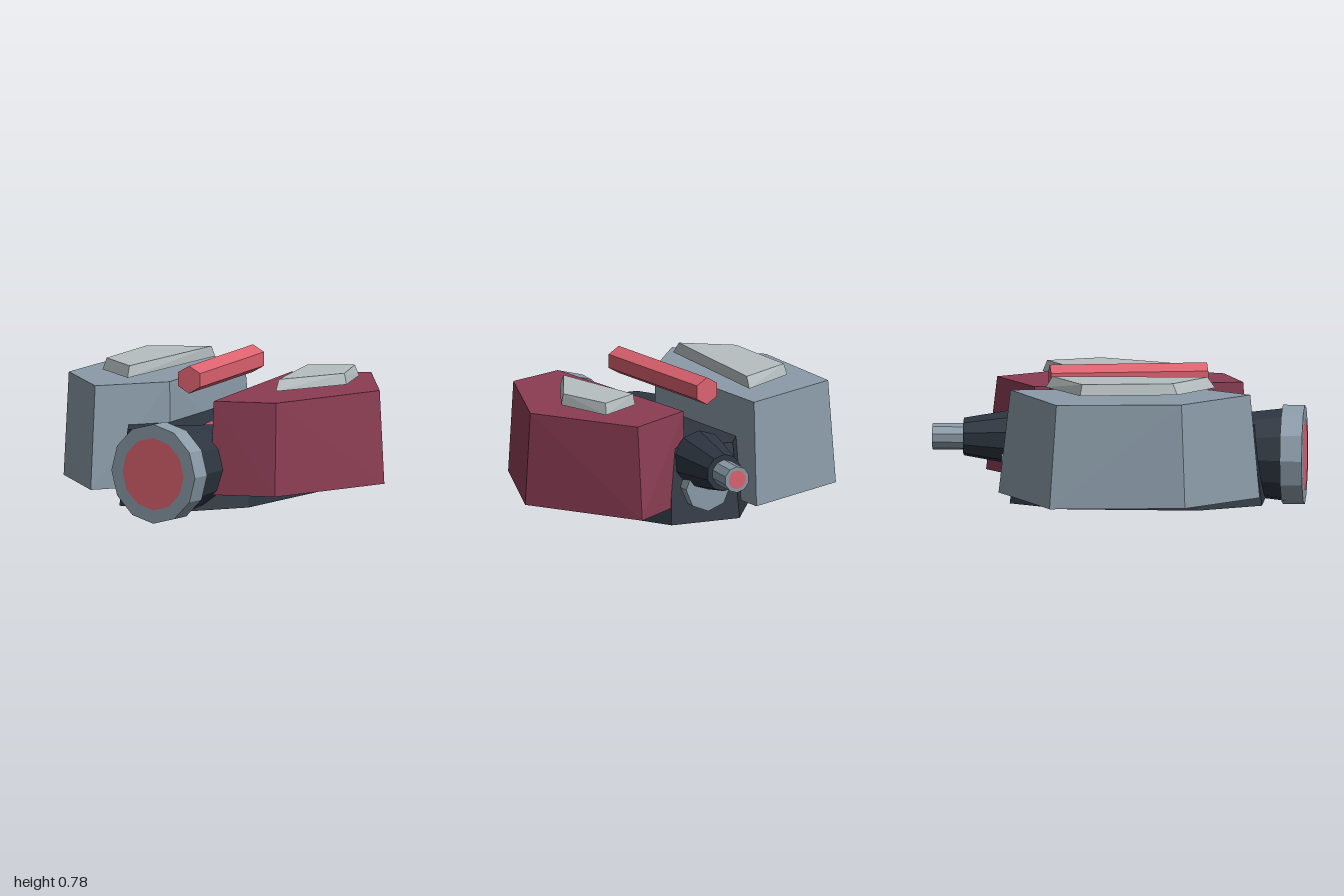
import * as THREE from 'three';
import { ConvexGeometry } from 'three/addons/geometries/ConvexGeometry.js';

const mat = (color) => new THREE.MeshStandardMaterial({ color, flatShading: true });
const steel = mat(0x8a9ba8), maroon = mat(0x8b3d53), red = mat(0xdc626e);
const dark = mat(0x2d3641), pale = mat(0xb6bec0);

export function createModel() {
  const model = new THREE.Group();

  function add(name, geometry, material) {
    const mesh = new THREE.Mesh(geometry, material);
    mesh.name = name;
    model.add(mesh);
    return mesh;
  }

  // Tapered block between two [x, z] outlines
  function block(name, material, y0, base, y1, top) {
    const points = [
      ...base.map(([x, z]) => new THREE.Vector3(x, y0, z)),
      ...top.map(([x, z]) => new THREE.Vector3(x, y1, z)),
    ];
    return add(name, new ConvexGeometry(points), material);
  }

  // Faceted barrel along z, from z0 (radius r0) to z1 (radius r1)
  function barrel(name, material, x, y, z0, r0, z1, r1, sides) {
    const g = new THREE.CylinderGeometry(r1, r0, z1 - z0, sides).rotateX(Math.PI / 2);
    add(name, g, material).position.set(x, y, (z0 + z1) / 2);
  }

  // Flat coloured face on the end of a barrel; dir is +1 (front) or -1 (back)
  function lens(name, x, y, z, r, sides, dir) {
    const g = new THREE.CircleGeometry(r, sides, Math.PI / 2);
    if (dir < 0) g.rotateY(Math.PI);
    add(name, g, red).position.set(x, y, z + dir * 0.002);
  }

  // Hexagonal rod between two points
  function rod(name, a, b, r) {
    const from = new THREE.Vector3(...a), to = new THREE.Vector3(...b);
    const g = new THREE.CylinderGeometry(r, r, from.distanceTo(to), 6).rotateX(Math.PI / 2);
    const mesh = add(name, g, red);
    mesh.position.copy(from).lerp(to, 0.5);
    mesh.lookAt(to);
  }

  // Central eight-sided body, slightly narrower at the top
  const hull = [
    [-0.2, -0.57], [0.2, -0.57], [0.415, -0.24], [0.415, 0.46],
    [0.2, 0.79], [-0.2, 0.79], [-0.405, 0.46], [-0.405, -0.24],
  ];
  const hullTop = hull.map(([x, z]) => [x * 0.92, 0.11 + (z - 0.11) * 0.92]);
  block('centralBody', dark, 0.045, hull, 0.455, hullTop);

  // Side housings
  block('rightHousing', steel,
    0.115, [[-0.885, -0.31], [-0.275, -0.625], [-0.13, 0.4], [-0.385, 0.79], [-0.81, 0.415]],
    0.675, [[-0.855, -0.275], [-0.29, -0.56], [-0.138, 0.395], [-0.39, 0.74], [-0.79, 0.395]]);
  block('leftHousing', maroon,
    0.135, [[0.45, -0.74], [0.88, -0.16], [0.655, 0.565], [0.32, 0.69], [0.07, -0.46]],
    0.64, [[0.45, -0.68], [0.85, -0.16], [0.64, 0.53], [0.32, 0.655], [0.08, -0.455]]);

  // Raised panels, set just above the housings
  block('rightPanel', pale,
    0.7, [[-0.665, -0.16], [-0.35, -0.365], [-0.31, 0.545], [-0.595, 0.36]],
    0.76, [[-0.65, -0.15], [-0.35, -0.33], [-0.325, 0.505], [-0.585, 0.335]]);
  block('leftPanel', pale,
    0.66, [[0.29, -0.29], [0.53, -0.44], [0.655, -0.13], [0.475, 0.285]],
    0.72, [[0.3, -0.285], [0.52, -0.415], [0.642, -0.13], [0.47, 0.25]]);

  // Front barrel with its rim and lens
  barrel('frontBarrel', dark, 0.157, 0.273, 0.365, 0.19, 0.88, 0.25, 12);
  barrel('frontRim', steel, 0.157, 0.273, 0.88, 0.27, 0.998, 0.27, 12);
  lens('frontLens', 0.157, 0.273, 0.998, 0.197, 12, 1);

  // Rear barrel, its narrow tip and the stub beneath it
  barrel('rearBarrel', dark, 0.007, 0.376, -0.83, 0.102, -0.5, 0.16, 10);
  barrel('rearTip', steel, 0.007, 0.376, -0.998, 0.072, -0.83, 0.072, 10);
  lens('rearTipLens', 0.007, 0.376, -0.998, 0.052, 10, -1);
  barrel('rearStub', steel, 0.007, 0.245, -0.62, 0.13, -0.4, 0.13, 8);

  // Top rail, and a sloping rod that passes through the body
  rod('topRail', [-0.102, 0.711, -0.36], [0.042, 0.711, 0.478], 0.075);
  rod('innerRod', [0, 0.07, -0.42], [0.13, 0.42, 0.41], 0.07);

  return model;
}
